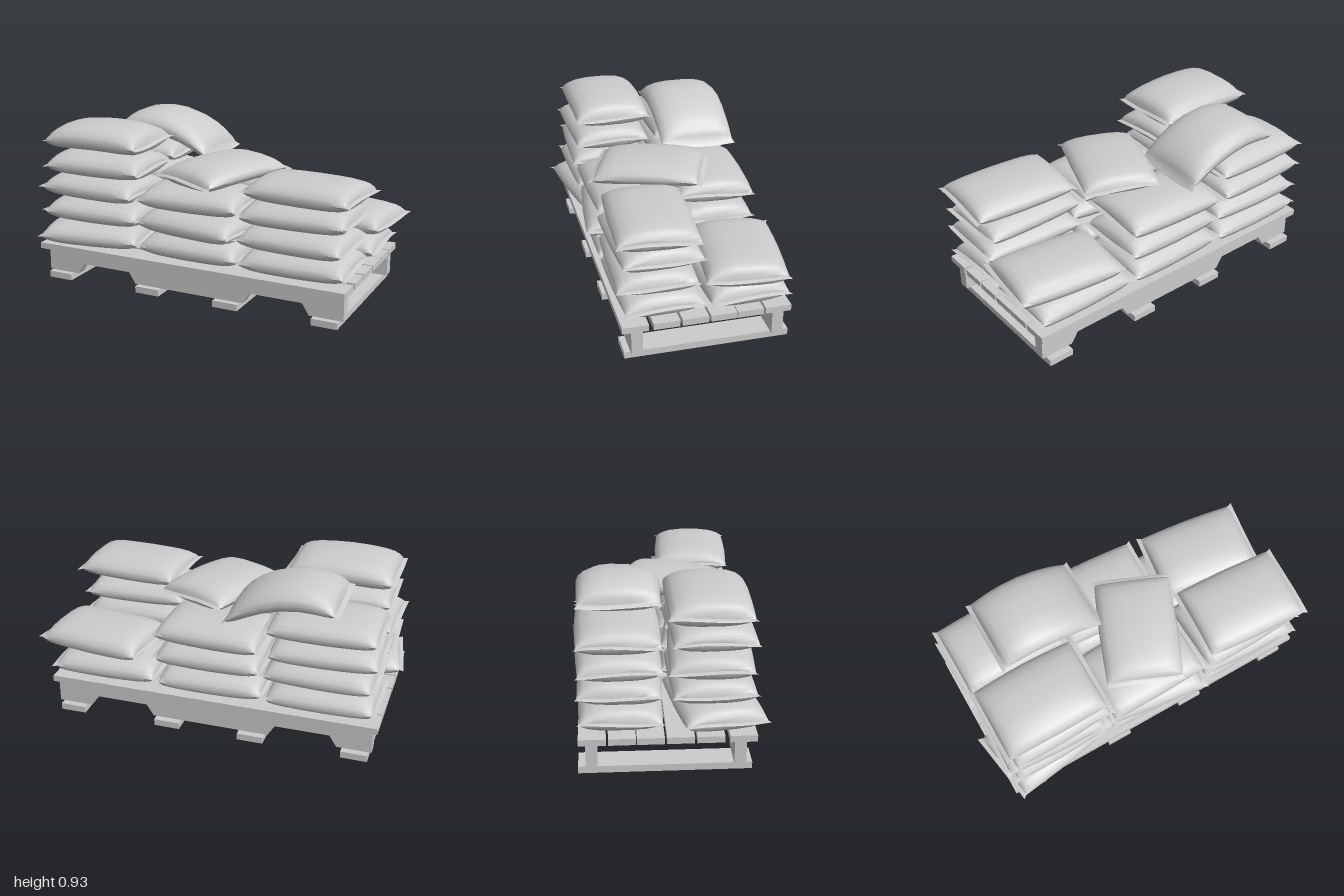
import * as THREE from 'three';
import { toCreasedNormals } from 'three/addons/utils/BufferGeometryUtils.js';

const material = new THREE.MeshStandardMaterial({ color: 0xcccccc, side: THREE.DoubleSide });

// Half of a filled sack from its middle to the sewn end: [x, half depth, height share]
const HALF = [
  [0, 0.215, 1], [0.1, 0.213, 0.99], [0.18, 0.211, 0.95], [0.235, 0.209, 0.84], [0.265, 0.208, 0.66],
  [0.279, 0.207, 0.4], [0.285, 0.207, 0.08], [0.302, 0.215, 0.05], [0.308, 0.219, 0],
];
const STATIONS = [...HALF.slice(1).reverse().map(([x, w, h]) => [-x, w, h]), ...HALF];

// Pillow-shaped sack with flat sewn ends; bend sags it along its length around bendX
function sackGeometry(height, phase, bend = 0, bendX = 0) {
  const sides = 18, pos = [], index = [];
  STATIONS.forEach(([x, w, share], i) => {
    for (let j = 0; j < sides; j++) {
      const a = (j / sides) * Math.PI * 2, c = Math.cos(a), s = Math.sin(a);
      const z = w * Math.sign(c) * Math.abs(c) ** 0.74;
      // domed top, flatter underside, seam a little below the middle
      let y = height * (share * (s > 0 ? 0.55 * s : -0.45 * Math.abs(s) ** 0.85) - 0.05);
      // gently curved end seam
      if (Math.abs(x) > 0.283) y += 0.007 * Math.cos(z * 12 + phase);
      y -= bend * (x - bendX) ** 2;
      pos.push(x, y, z);
      if (i < STATIONS.length - 1) {
        const p = i * sides + j, q = i * sides + ((j + 1) % sides);
        index.push(p, p + sides, q, q, p + sides, q + sides);
      }
    }
  });
  const g = new THREE.BufferGeometry();
  g.setAttribute('position', new THREE.Float32BufferAttribute(pos, 3));
  g.setIndex(index);
  return toCreasedNormals(g, 0.8);
}

export function createModel() {
  const model = new THREE.Group();
  const pallet = new THREE.Group();
  pallet.name = 'pallet';
  const sacks = new THREE.Group();
  sacks.name = 'sacks';
  model.add(pallet, sacks);

  const add = (parent, name, geometry, x, y, z) => {
    const mesh = new THREE.Mesh(geometry, material);
    mesh.name = name;
    mesh.position.set(x, y, z);
    parent.add(mesh);
    return mesh;
  };
  const extrude = (points, depth) => new THREE.ExtrudeGeometry(
    new THREE.Shape(points.map(([x, y]) => new THREE.Vector2(x, y))), { depth, bevelEnabled: false });

  // Deck boards
  for (const z of [0.361, 0.199, 0.049, -0.1, -0.242, -0.39]) {
    add(pallet, 'deckBoard', new THREE.BoxGeometry(1.845, 0.035, 0.138), -0.01, 0.1925, z);
  }

  // Long side stringers with fork notches
  const right = [[0.33, 0.037], [0.37, 0.1], [0.67, 0.1], [0.71, 0.037], [0.9, 0.037], [0.9, 0.175]];
  const left = right.map(([x, y]) => [-x, y]).reverse();
  for (const z of [0.32, -0.425]) add(pallet, 'stringer', extrude([...left, ...right], 0.06), -0.005, 0, z);

  // Inner cross boards with chamfered lower corners
  const cross = [[-0.31, 0.175], [-0.31, 0.1], [-0.28, 0.037], [0.33, 0.037], [0.36, 0.1], [0.36, 0.175]];
  for (const x of [-0.27, 0.21]) add(pallet, 'crossBoard', extrude(cross, 0.05), x, 0, 0).rotation.y = Math.PI / 2;

  // Bottom skids, hollow on the underside (the box's lower face is left out)
  const skid = new THREE.BoxGeometry(0.145, 0.037, 0.875);
  const faces = [...skid.index.array];
  faces.splice(18, 6);
  skid.setIndex(faces);
  skid.clearGroups();
  for (const x of [-0.817, -0.245, 0.235, 0.8]) add(pallet, 'skid', skid, x, 0.0185, -0.025);

  // Stacks: x, z, layer step, then per layer [yaw, x shift, z shift]
  const stacks = [
    [-0.6, 0.205, 0.135, [[0.16, -0.04, 0.03], [0.03, -0.01, 0.01], [-0.04, -0.02, 0.01], [0.03, 0.01, 0.01]]],
    [-0.61, -0.245, 0.136, [[0, 0, 0], [-0.03, 0.01, 0], [0.03, -0.01, -0.01], [0.01, 0, -0.01]]],
    [0, 0.205, 0.137, [[-0.02, 0, 0], [-0.13, 0.01, 0.03], [0.02, 0, 0.01]]],
    [0, -0.24, 0.142, [[0.02, 0, 0], [0, 0.01, 0], [-0.05, 0, -0.015]]],
    [0.6, 0.205, 0.131, [[0.02, 0, 0], [-0.04, 0, 0.02], [0.03, 0, 0.01], [-0.065, 0.035, 0.015]]],
    [0.61, -0.24, 0.143, [[0.02, 0, 0], [-0.13, 0.06, -0.005]]],
  ];
  let phase = 0;
  for (const [x, z, step, layers] of stacks) {
    layers.forEach(([yaw, dx, dz], i) => {
      const sack = add(sacks, 'sack', sackGeometry(step + 0.008, phase += 1.7),
        x + dx, 0.21 + step * (i + 0.5), z + dz);
      sack.rotation.y = yaw;
    });
  }

  // Loose sacks lying on top of the stacks
  add(sacks, 'topSack', sackGeometry(0.155, 2, 0.2), -0.6, 0.835, 0.2);
  add(sacks, 'drapedSack', sackGeometry(0.15, 4, 0.95, -0.1), -0.39, 0.854, -0.245);
  add(sacks, 'turnedSack', sackGeometry(0.128, 1, 0.18, 0.1), 0.065, 0.69, 0.075).rotation.y = 1.18;

  return model;
}
